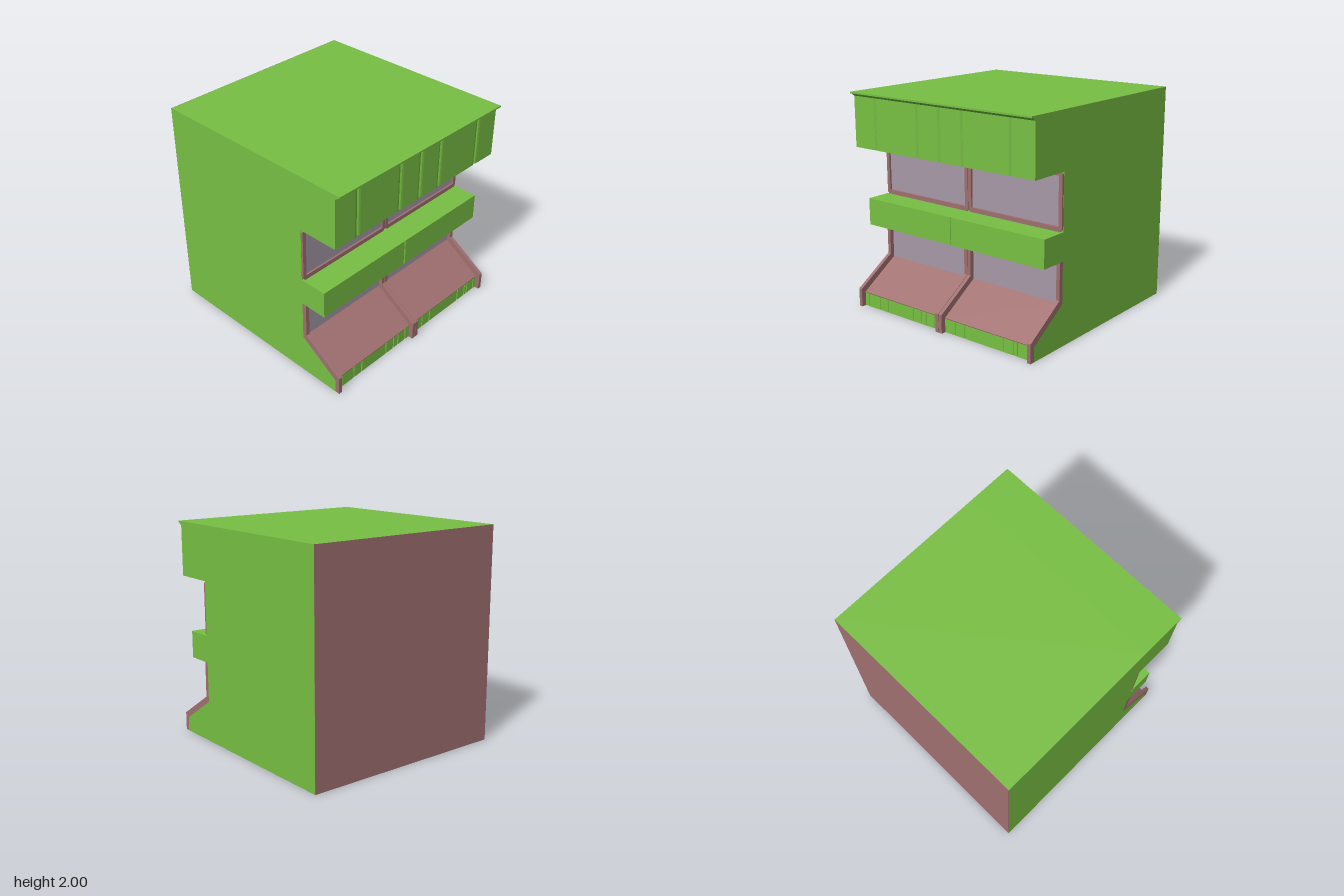
import * as THREE from 'three';

const mat = (color) => new THREE.MeshStandardMaterial({ color, side: THREE.DoubleSide });
const WALL = 0.575; // x of the recessed shop wall

export function createModel() {
  const model = new THREE.Group();
  const green = mat(0x78c043), brown = mat(0xa07070), glass = mat(0xa799a7);

  const add = (name, geometry, material) => {
    const mesh = new THREE.Mesh(geometry, material);
    mesh.name = name;
    model.add(mesh);
    return mesh;
  };
  const shapeOf = (pts) => new THREE.Shape(pts.map(([x, y]) => new THREE.Vector2(x, y)));
  const extrude = (shape, depth) =>
    new THREE.ExtrudeGeometry(shape, { depth, bevelEnabled: false });
  const box = (name, material, x0, x1, y0, y1, z0, z1) =>
    add(name, new THREE.BoxGeometry(x1 - x0, y1 - y0, z1 - z0), material)
      .position.set((x0 + x1) / 2, (y0 + y1) / 2, (z0 + z1) / 2);

  // side profile (x, y) pushed along z
  const profile = (name, material, pts, z0, z1) =>
    add(name, extrude(shapeOf(pts), z1 - z0).translate(0, 0, z0), material);

  // horizontal band whose outer face has vertical grooves at the given z
  const band = (name, y0, y1, front, grooves, width, depth) => {
    const pts = [[WALL, -1], [front, -1]];
    for (const z of grooves.map((g) => -g).sort((a, b) => a - b)) {
      for (const [t, d] of [[-1, 0], [-0.4, 0.25], [0, 1], [0.4, 0.25], [1, 0]]) {
        pts.push([front - d * depth, z + t * width]);
      }
    }
    pts.push([front, 1], [WALL, 1]);
    add(name, extrude(shapeOf(pts), y1 - y0).rotateX(-Math.PI / 2).translate(0, y0, 0), green);
  };

  // main block with the sloping base, and the plain rear wall
  profile('body', green, [
    [-0.998, 0], [WALL, 0], [WALL, 0.13], [0.955, 0.13], [WALL, 0.38], [WALL, 2], [-0.998, 2],
  ], -1, 1);
  box('rearWall', brown, -1, -0.998, 0, 2, -1, 1);

  // projecting bands
  band('plinth', 0, 0.13, 0.955,
    [0.92, 0.77, 0.67, 0.35, 0.25, 0.19, 0.09, -0.15, -0.26, -0.68, -0.79, -0.83, -0.93], 0.008, 0.012);
  band('middleBand', 0.75, 1, 0.83, [0], 0.01, 0.012);
  band('fascia', 1.5, 1.96, 0.955, [-0.75, -0.25, 0, 0.25, 0.75], 0.03, 0.012);

  // roof edge flaring out over the fascia
  profile('roofLip', green, [
    [WALL, 1.96], [0.955, 1.96], [0.99, 1.985], [1, 1.985], [1, 2], [WALL, 2],
  ], -1, 1);

  // two matching bays
  for (const side of [-1, 1]) {
    const zMid = side * 0.5;

    // upper window: chamfered frame around a pane
    const w = 0.498, c = 0.02;
    const frame = shapeOf([
      [-w + c, 1], [w - c, 1], [w, 1 + c], [w, 1.5 - c],
      [w - c, 1.5], [-w + c, 1.5], [-w, 1.5 - c], [-w, 1 + c],
    ]);
    frame.holes.push(shapeOf([[-0.463, 1.04], [-0.463, 1.465], [0.463, 1.465], [0.463, 1.04]]));
    add('upperWindowFrame',
      extrude(frame, 0.02).rotateY(Math.PI / 2).translate(WALL, 0, zMid), brown);
    box('upperGlass', glass, WALL - 0.01, WALL + 0.002, 1.03, 1.47, zMid - 0.47, zMid + 0.47);

    // lower window: pane, top rail and sloping sill
    box('lowerGlass', glass, WALL - 0.01, WALL + 0.002, 0.38, 0.73, zMid - 0.47, zMid + 0.47);
    box('lowerTopRail', brown, WALL, 0.615, 0.718, 0.75, zMid - 0.463, zMid + 0.463);
    profile('slopingSill', brown, [
      [WALL, 0.375], [0.955, 0.125], [0.957, 0.132], [WALL, 0.384],
    ], zMid - 0.465, zMid + 0.465);

    // bent posts on both edges of the bay
    for (const edge of [-1, 1]) {
      const z = zMid + edge * (edge === side ? 0.4825 : 0.4805);
      profile('bentPost', brown, [
        [WALL, 0.75], [WALL, 0.38], [0.955, 0.13], [0.955, 0],
        [1, 0], [1, 0.17], [0.615, 0.42], [0.615, 0.75],
      ], z - 0.0175, z + 0.0175);
    }
  }
  return model;
}
